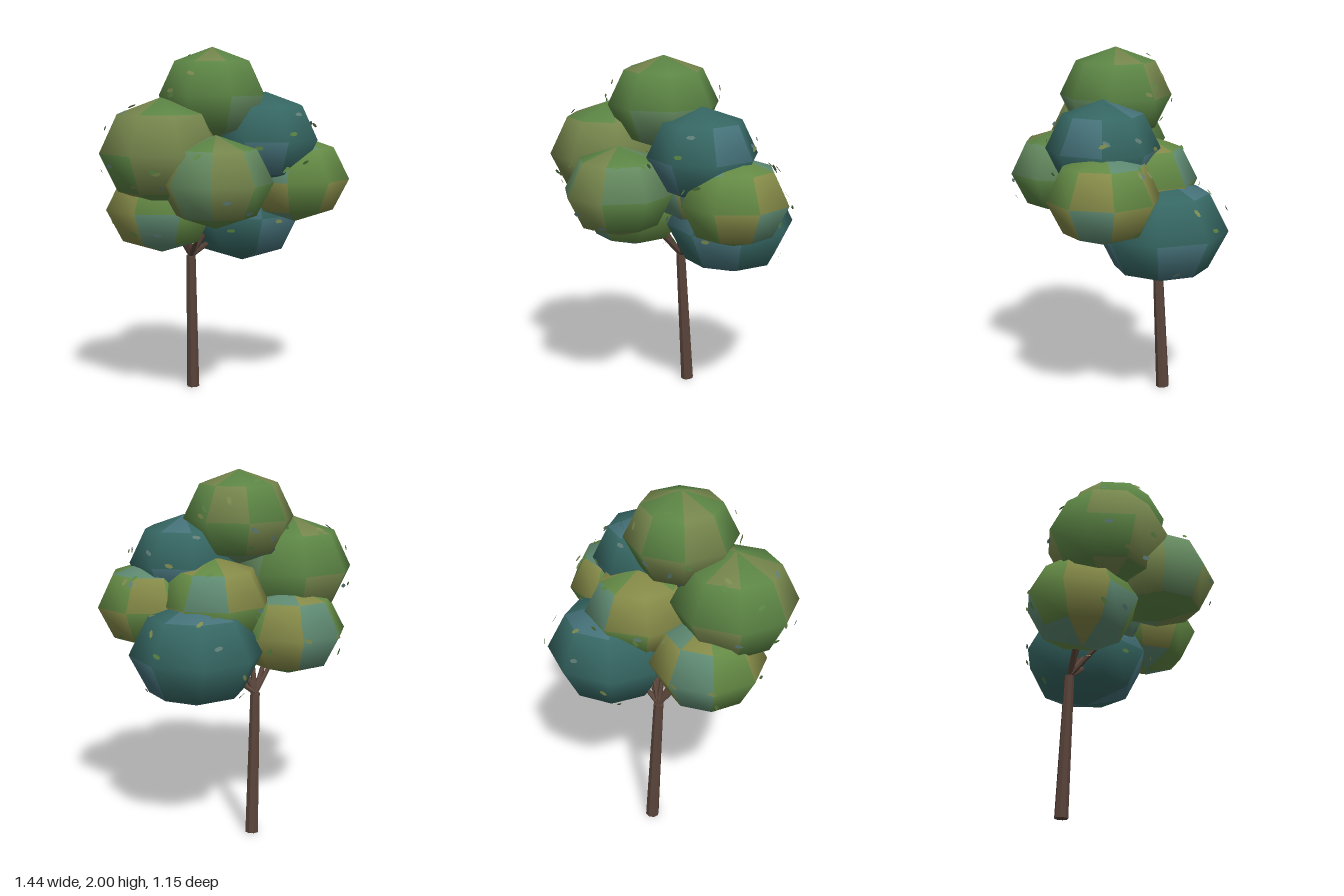
import * as THREE from 'three';

// Canopy clumps: centre, horizontal radius, vertical radius, turn (degrees), palette
const CLUMPS = [
  { name: 'crownTop', at: [-0.06, 1.74, -0.01], r: 0.308, h: 0.26, turn: -10, tone: 'green' },
  { name: 'crownLeftSide', at: [-0.385, 1.44, 0], r: 0.343, h: 0.292, turn: -10, tone: 'green' },
  { name: 'crownFront', at: [-0.198, 1.29, 0.27], r: 0.306, h: 0.25, turn: 11, tone: 'green' },
  { name: 'crownUpperRight', at: [0.22, 1.495, 0.095], r: 0.307, h: 0.26, turn: -8, tone: 'blue' },
  { name: 'crownRightSide', at: [0.412, 1.265, 0.115], r: 0.306, h: 0.25, turn: 3, tone: 'olive' },
  { name: 'crownLowerBack', at: [0.26, 1.045, -0.217], r: 0.363, h: 0.294, turn: -13, tone: 'blue' },
  { name: 'crownLowerLeft', at: [-0.312, 1.115, -0.142], r: 0.32, h: 0.253, turn: -9, tone: 'olive' },
  { name: 'crownBack', at: [0.125, 1.3, -0.125], r: 0.31, h: 0.25, turn: -5, tone: 'olive' },
];

// Patch colours; the first is the main one
const TONES = {
  green: [0x5c8545, 0x5c8545, 0x5c8545, 0x75854c, 0x64895f],
  olive: [0x648a45, 0x648a45, 0x858a48, 0x858a48, 0x5f8a72],
  blue: [0x366763, 0x366763, 0x366763, 0x46727a, 0x366763],
};

const foliage = (color) => new THREE.MeshStandardMaterial({ color });

function seeded(seed) {
  let s = seed;
  return () => (s = (s * 16807) % 2147483647) / 2147483647;
}

// Tapered limb between two points
function limb(name, from, to, r0, r1, sides, material) {
  const dir = to.clone().sub(from);
  const mesh = new THREE.Mesh(new THREE.CylinderGeometry(r1, r0, dir.length(), sides), material);
  mesh.name = name;
  mesh.position.copy(from).add(to).multiplyScalar(0.5);
  mesh.quaternion.setFromUnitVectors(new THREE.Vector3(0, 1, 0), dir.normalize());
  return mesh;
}

// Eight-sided squashed ball whose quads take different patch colours
function clumpMesh({ r, h, turn, tone }, rand) {
  const geo = new THREE.SphereGeometry(1, 8, 4);
  geo.scale(r, h, r);
  geo.rotateY(THREE.MathUtils.degToRad(turn));
  let start = 0;
  for (let row = 0; row < 4; row++) {
    const count = row === 0 || row === 3 ? 3 : 6;
    for (let i = 0; i < 8; i++) {
      geo.addGroup(start, count, Math.floor(rand() * 5));
      start += count;
    }
  }
  const mesh = new THREE.Mesh(geo, TONES[tone].map(foliage));
  mesh.name = 'foliage';
  return mesh;
}

export function createModel() {
  const tree = new THREE.Group();
  tree.name = 'tree';
  const rand = seeded(4217);
  const bark = new THREE.MeshStandardMaterial({ color: 0x5a453b, flatShading: true });

  // Leaning trunk
  const fork = new THREE.Vector3(-0.066, 0.8, -0.254);
  tree.add(limb('trunk', new THREE.Vector3(-0.037, 0, -0.288), fork, 0.038, 0.028, 8, bark));

  // Small loose leaves
  const leafGeo = new THREE.CircleGeometry(1, 6);
  leafGeo.scale(0.025, 0.012, 1);
  const leafMats = [0x5c8545, 0x7c8a50, 0x5f7d78].map(
    (color) => new THREE.MeshStandardMaterial({ color, side: THREE.DoubleSide }));
  const front = new THREE.Vector3(0, 0, 1);

  for (const c of CLUMPS) {
    const centre = new THREE.Vector3(...c.at);

    // Branch from the fork towards the clump, ending inside the canopy
    const tip = fork.clone().lerp(centre, 0.48);
    tree.add(limb('branch', fork, tip, 0.015, 0.011, 6, bark));

    const clump = new THREE.Group();
    clump.name = c.name;
    clump.position.copy(centre);
    clump.add(clumpMesh(c, rand));

    for (let i = 0; i < 14; i++) {
      const a = rand() * Math.PI * 2;
      const v = rand() * 1.6 - 0.8;
      const s = Math.sqrt(1 - v * v);
      const n = new THREE.Vector3(s * Math.cos(a), v, s * Math.sin(a));
      const leaf = new THREE.Mesh(leafGeo, leafMats[i % 3]);
      leaf.name = 'leaf';
      const lift = 0.98 + rand() * 0.08;
      leaf.position.set(n.x * c.r * lift, n.y * c.h * lift, n.z * c.r * lift);
      leaf.quaternion.setFromUnitVectors(front, n);
      leaf.rotateZ((rand() - 0.5) * 1.2);
      clump.add(leaf);
    }
    tree.add(clump);
  }
  return tree;
}
